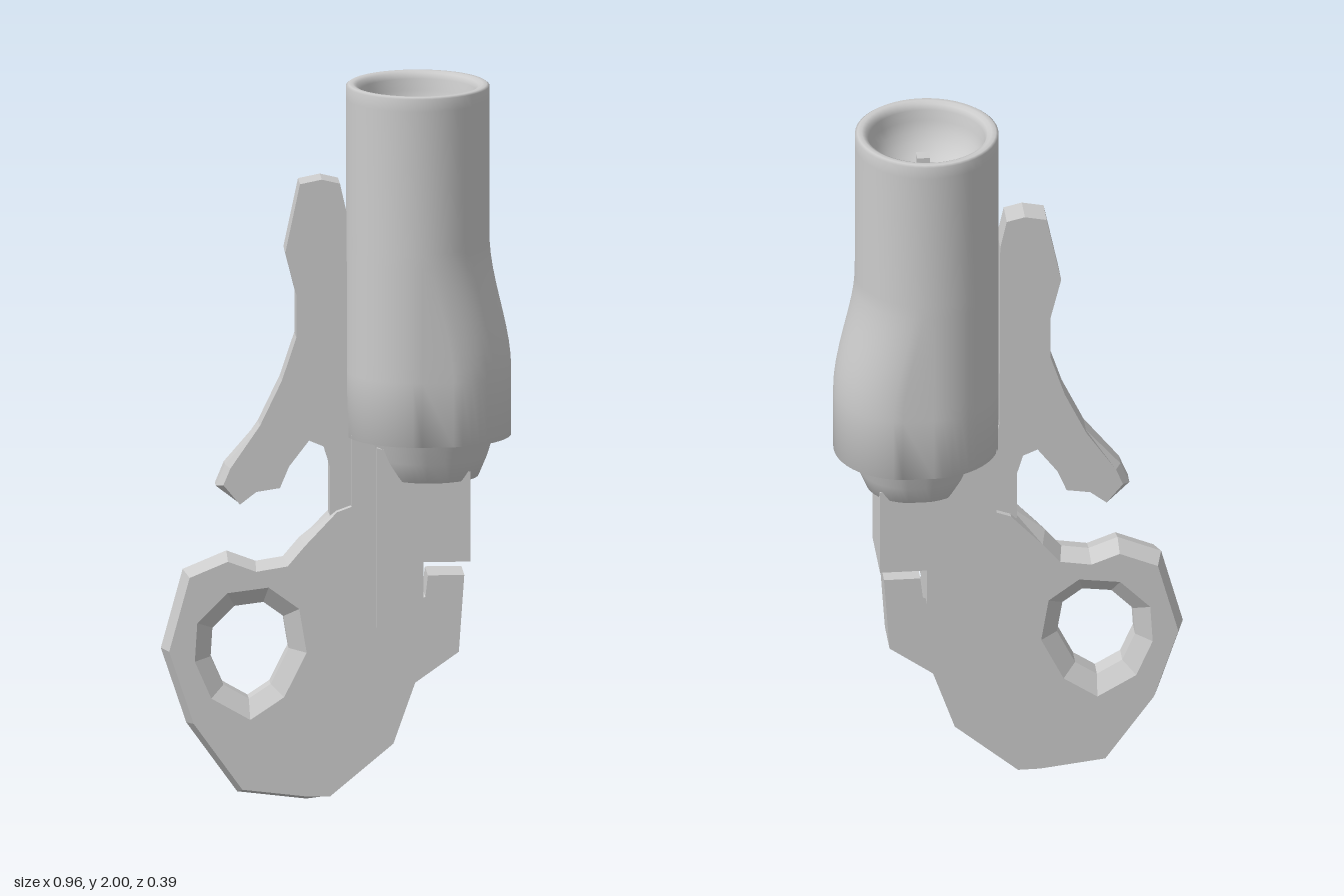
import * as THREE from 'three';
import { mergeVertices } from 'three/addons/utils/BufferGeometryUtils.js';

const smooth = new THREE.MeshStandardMaterial({ color: 0xcccccc, side: THREE.DoubleSide });
const faceted = new THREE.MeshStandardMaterial({ color: 0xcccccc, flatShading: true });
const V = (pairs) => pairs.map(([x, y]) => new THREE.Vector2(x, y));

function add(group, name, geometry, material) {
  const mesh = new THREE.Mesh(geometry, material);
  mesh.name = name;
  group.add(mesh);
  return mesh;
}

// Moves each corner of a loop into the material by amount(corner).
function inset(loop, amount) {
  return loop.map((p, i) => {
    const d1 = p.clone().sub(loop.at(i - 1)).normalize();
    const d2 = loop[(i + 1) % loop.length].clone().sub(p).normalize();
    const n = new THREE.Vector2(-d1.y - d2.y, d1.x + d2.x).normalize();
    const miter = Math.max(0.6, n.dot(new THREE.Vector2(-d1.y, d1.x)));
    return p.clone().addScaledVector(n, amount(p) / miter);
  });
}

// Plate with chamfered loops. Each loop lists rings [z, inset] from front to back.
function plate(loops) {
  const pos = [];
  const push = (p, z) => pos.push(p.x, p.y, z);
  const built = loops.map(({ points, hole, rings }) => {
    let loop = V(points);
    if (THREE.ShapeUtils.isClockWise(loop) !== !!hole) loop = loop.reverse();
    return rings.map(([z, amount]) => ({ z, pts: inset(loop, amount) }));
  });
  for (const rings of built) {
    for (let r = 0; r + 1 < rings.length; r++) {
      const a = rings[r], b = rings[r + 1];
      for (let i = 0; i < a.pts.length; i++) {
        const j = (i + 1) % a.pts.length;
        push(a.pts[i], a.z); push(b.pts[i], b.z); push(b.pts[j], b.z);
        push(a.pts[i], a.z); push(b.pts[j], b.z); push(a.pts[j], a.z);
      }
    }
  }
  // front and back faces
  for (const front of [true, false]) {
    const ends = built.map((rings) => (front ? rings[0] : rings.at(-1)));
    const all = ends.flatMap((e) => e.pts);
    const tris = THREE.ShapeUtils.triangulateShape(ends[0].pts, ends.slice(1).map((e) => e.pts));
    for (const t of tris) {
      const [a, b, c] = t.map((i) => all[i]);
      const ccw = b.clone().sub(a).cross(c.clone().sub(a)) > 0;
      for (const p of ccw === front ? [a, b, c] : [a, c, b]) push(p, ends[0].z);
    }
  }
  const g = new THREE.BufferGeometry();
  g.setAttribute('position', new THREE.Float32BufferAttribute(pos, 3));
  g.computeVertexNormals();
  return g;
}

// Lathe whose +x half is pushed outward by shift(y).
function bulgedLathe(points, shift) {
  let g = new THREE.LatheGeometry(V(points), 48);
  const p = g.attributes.position;
  for (let i = 0; i < p.count; i++) {
    if (p.getX(i) > 0.001) p.setX(i, p.getX(i) + shift(p.getY(i)));
  }
  g.deleteAttribute('uv');
  g.deleteAttribute('normal');
  g = mergeVertices(g, 1e-4);
  g.computeVertexNormals();
  return g;
}

const none = () => 0;
const flat = (h) => [[h, none], [-h, none]];

export function createModel() {
  const model = new THREE.Group();
  const body = new THREE.Group();
  body.name = 'body';
  body.position.z = -0.003;
  model.add(body);

  // Sleeve with a heel swelling to one side and a bowl in its top
  const swell = (y) => {
    const t = THREE.MathUtils.clamp((1.58 - y) / 0.38, 0, 1);
    return 0.06 * t * t * (3 - 2 * t);
  };
  const profile = [[0, 1.02], [0.13, 1.02], [0.197, 1.02]];
  for (let y = 1.2; y < 1.6; y += 0.04) profile.push([0.197, y]);
  profile.push([0.197, 1.96], [0.197, 1.995], [0.19, 2], [0.178, 2], [0.167, 1.995], [0.16, 1.98]);
  for (let i = 1; i <= 8; i++) {
    const a = (i / 8) * Math.PI / 2;
    profile.push([0.16 * Math.cos(a), 1.98 - 0.16 * Math.sin(a)]);
  }
  add(body, 'sleeve', bulgedLathe(profile, swell), smooth).position.x = 0.226;

  // Small post standing in the bowl
  add(body, 'innerPost', new THREE.BoxGeometry(0.036, 0.11, 0.036), faceted).position.set(0.234, 1.86, 0.022);

  // Tapered cup under the sleeve
  const cup = bulgedLathe([[0, 0.9], [0.1, 0.9], [0.12, 0.905], [0.143, 0.96], [0.165, 1.03]], () => 0.03);
  add(body, 'cup', cup, smooth).position.x = 0.243;

  // Stepped block clasping the blade
  add(body, 'claspBlock', plate([{
    points: [[0.108, 1.0], [0.108, 0.495], [0.235, 0.57], [0.235, 0.68], [0.365, 0.68], [0.365, 0.93], [0.33, 0.95]],
    rings: flat(0.1),
  }]), faceted);

  // Spine between the block and the lever
  add(body, 'spine', plate([{
    points: [[0.04, 0.8], [0.13, 0.8], [0.13, 1.03], [0.04, 1.03]], rings: flat(0.068),
  }]), faceted);

  // Hooked blade with a chamfered eye
  const rim = (p) => (p.x < -0.02 ? 0.018 : p.y < 0.1 ? 0.01 : 0);
  add(body, 'blade', plate([
    {
      points: [
        [0.11, 0.855], [0, 0.815], [-0.1, 0.735], [-0.145, 0.682], [-0.22, 0.67], [-0.3, 0.7], [-0.42, 0.65],
        [-0.48, 0.43], [-0.41, 0.22], [-0.27, 0.025], [-0.08, 0.002], [-0.015, 0.01], [0.155, 0.165],
        [0.215, 0.335], [0.335, 0.42], [0.35, 0.635], [0.25, 0.635], [0.243, 0.575], [0.12, 0.51],
      ],
      rings: [[0.062, rim], [0, none], [-0.062, rim]],
    },
    {
      hole: true,
      points: [
        [-0.34, 0.49], [-0.28, 0.55], [-0.2, 0.56], [-0.145, 0.52], [-0.13, 0.43],
        [-0.18, 0.33], [-0.24, 0.29], [-0.31, 0.33], [-0.345, 0.41],
      ],
      rings: [[0.062, () => 0.045], [0.028, none], [-0.028, none], [-0.062, () => 0.045]],
    },
  ]), faceted);

  // Lever lying along the sleeve, with a forked foot
  const tip = (p) => (p.x < -0.3 ? 0.016 : 0);
  add(body, 'lever', plate([{
    points: [
      [-0.1, 1.73], [-0.14, 1.54], [-0.11, 1.42], [-0.11, 1.3], [-0.15, 1.18], [-0.21, 1.055],
      [-0.305, 0.945], [-0.33, 0.885], [-0.265, 0.835], [-0.22, 0.87], [-0.155, 0.88], [-0.13, 0.94],
      [-0.075, 1.012], [-0.035, 0.995], [-0.018, 0.94], [-0.018, 0.8], [0.045, 0.8], [0.045, 1.03],
      [0.03, 1.1], [0.028, 1.65], [0.01, 1.73], [-0.04, 1.742],
    ],
    rings: [[0.042, tip], [0.022, none], [-0.022, none], [-0.042, tip]],
  }]), faceted).position.z = -0.004;

  return model;
}
